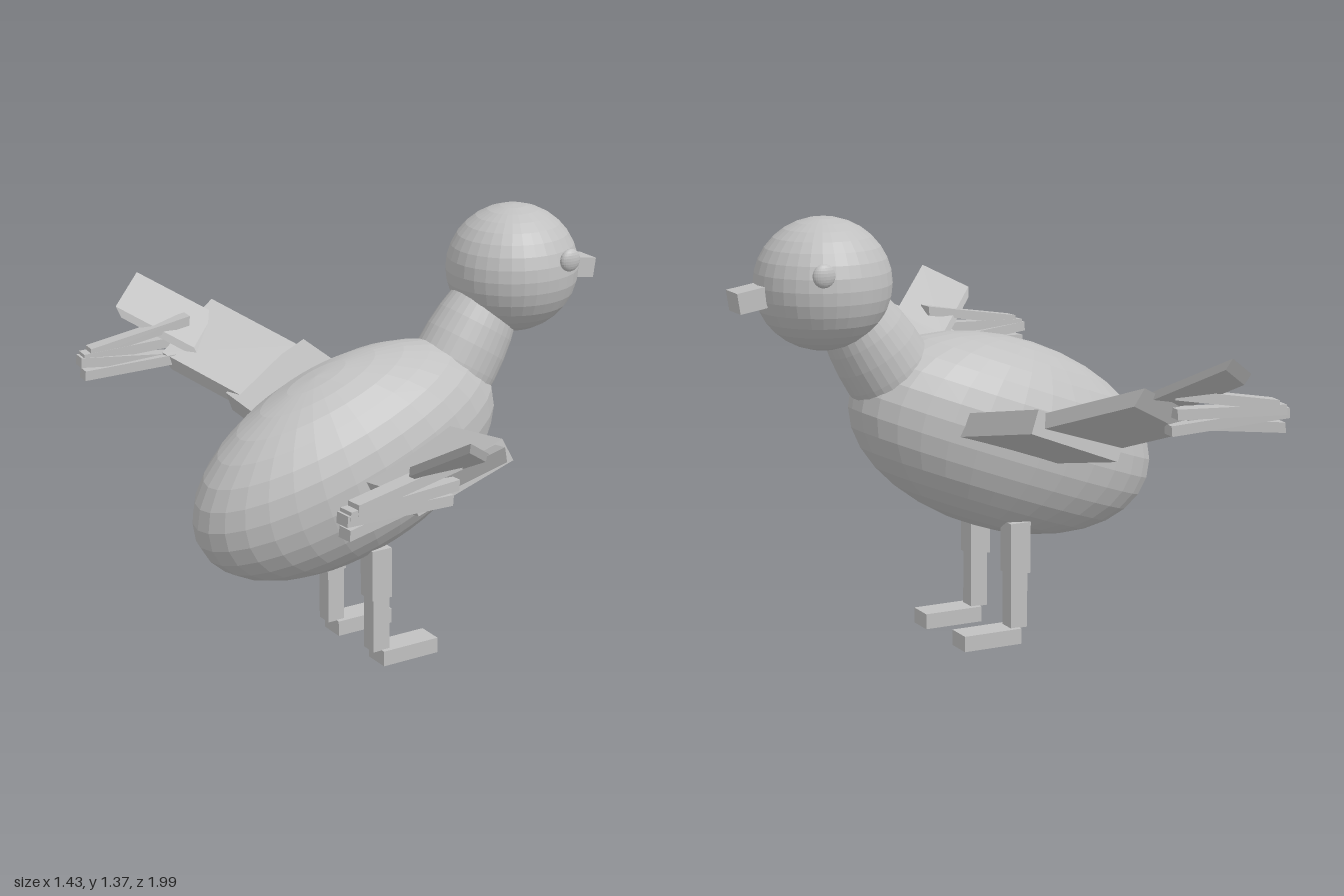
import * as THREE from 'three';

const plumage = new THREE.MeshStandardMaterial({ color: 0xc0c0c0, flatShading: true });
plumage.name = 'plain grey';

function add(parent, name, geometry) {
  const mesh = new THREE.Mesh(geometry, plumage);
  mesh.name = name;
  parent.add(mesh);
  return mesh;
}

// Ellipsoid with a tilt about z
function ellipsoid(parent, name, pos, radii, tilt = 0, w = 32, h = 16) {
  const mesh = add(parent, name, new THREE.SphereGeometry(1, w, h).scale(...radii));
  mesh.position.set(...pos);
  mesh.rotation.z = tilt;
  return mesh;
}

function block(parent, name, pos, size, tilt = 0) {
  const mesh = add(parent, name, new THREE.BoxGeometry(...size));
  mesh.position.set(...pos);
  mesh.rotation.z = tilt;
  return mesh;
}

// Slanted box from one corner and its span, chord and thickness edges
function slab(parent, name, side, corner, span, chord, thick) {
  const [o, s, c, t] = [corner, span, chord, thick].map(([x, y, z]) => new THREE.Vector3(x, y, z * side));
  const center = o.add(s.clone().add(c).add(t).multiplyScalar(0.5));
  const m = new THREE.Matrix4().makeBasis(s, c, t);
  if (m.determinant() < 0) m.makeBasis(s, c, t.negate());
  m.setPosition(center);
  return add(parent, name, new THREE.BoxGeometry(1, 1, 1).applyMatrix4(m));
}

function wing(side) {
  const g = new THREE.Group();
  g.name = side > 0 ? 'leftWing' : 'rightWing';
  // Each corner is the inner top of the leading edge
  slab(g, 'innerWing', side, [0.042, 0.764, 0.187], [-0.052, 0.081, 0.39], [-0.31, -0.122, -0.03], [0.03, -0.068, 0.014]);
  slab(g, 'middleWing', side, [-0.03, 0.828, 0.567], [-0.168, 0.114, 0.293], [-0.24, -0.12, -0.1], [0.022, -0.055, -0.02]);
  slab(g, 'outerWing', side, [-0.214, 0.908, 0.815], [-0.19, 0.125, 0.18], [-0.13, -0.073, -0.1], [0.01, -0.035, -0.02]);
  // Trailing feathers fan from the wing and meet at their tips
  const feathers = [
    [[-0.32, 0.89, 0.83], [-0.67, 0.83, 0.85]],
    [[-0.33, 0.83, 0.83], [-0.695, 0.815, 0.85]],
    [[-0.33, 0.775, 0.8], [-0.705, 0.805, 0.85]],
    [[-0.4, 0.785, 0.78], [-0.695, 0.76, 0.845]],
  ];
  for (const [a, b] of feathers) {
    slab(g, 'feather', side, a, b.map((v, i) => v - a[i]), [-0.005, 0, -0.05], [0.003, 0.032, 0]);
  }
  return g;
}

function leg(side) {
  const g = new THREE.Group();
  g.name = side > 0 ? 'leftLeg' : 'rightLeg';
  const z = 0.137 * side;
  block(g, 'upperLeg', [-0.173, 0.308, z], [0.07, 0.165, 0.07]);
  block(g, 'lowerLeg', [-0.172, 0.138, z], [0.058, 0.18, 0.056]);
  block(g, 'foot', [-0.073, 0.025, z], [0.2, 0.05, 0.088]);
  return g;
}

export function createModel() {
  const bird = new THREE.Group();
  bird.name = 'bird';

  // Body, neck and head
  ellipsoid(bird, 'body', [-0.197, 0.642, 0], [0.545, 0.305, 0.268], 0.352);
  ellipsoid(bird, 'neck', [0.208, 0.89, 0], [0.142, 0.35, 0.127], -0.57);
  ellipsoid(bird, 'head', [0.418, 1.166, 0], [0.213, 0.203, 0.203]);
  block(bird, 'beak', [0.642, 1.14, 0], [0.135, 0.064, 0.09], -0.16);

  // Paired parts
  for (const side of [1, -1]) {
    ellipsoid(bird, side > 0 ? 'leftEye' : 'rightEye', [0.5, 1.22, 0.196 * side], [0.036, 0.036, 0.018], 0, 24, 12);
    bird.add(wing(side), leg(side));
  }
  return bird;
}
